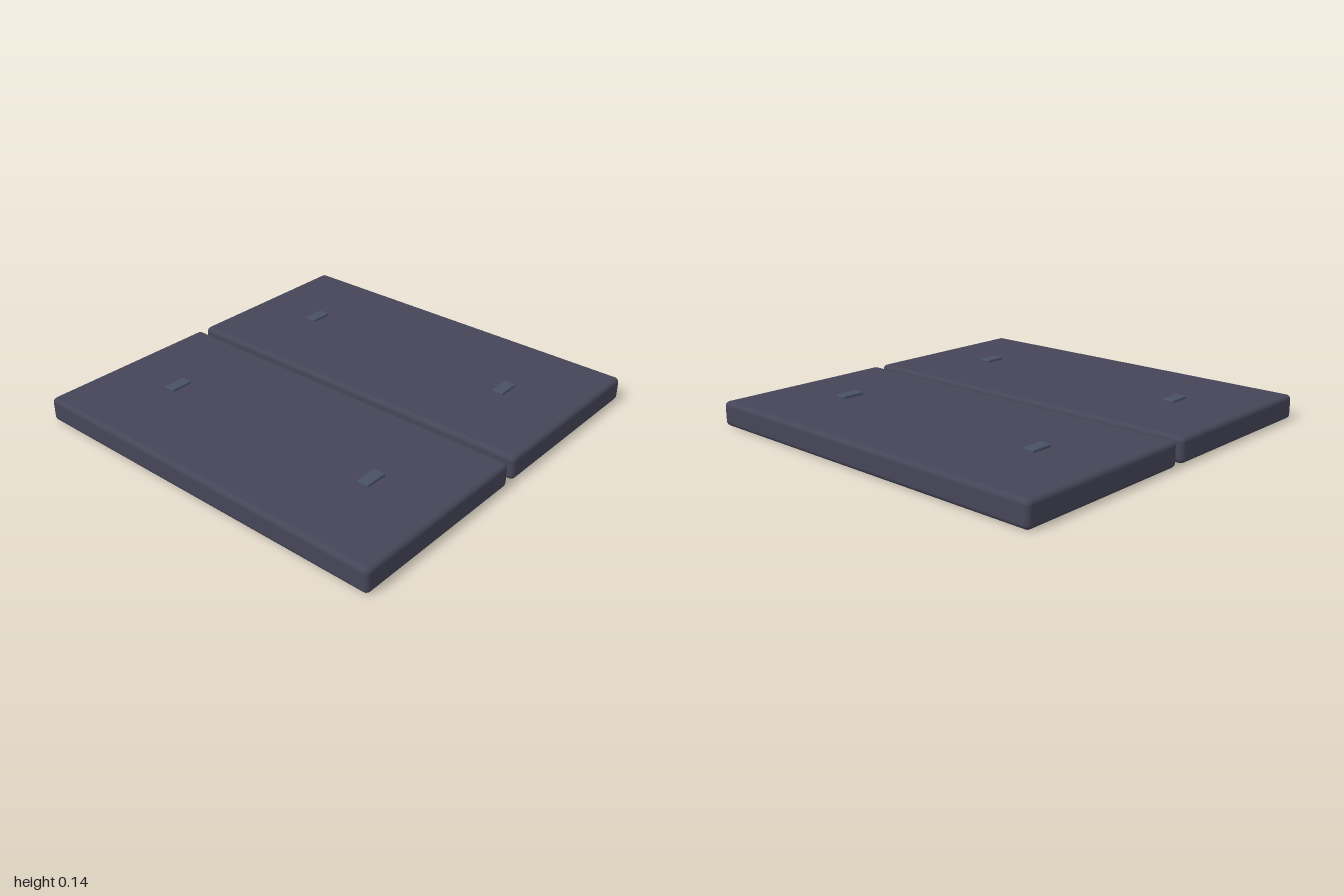
import * as THREE from 'three';
import { RoundedBoxGeometry } from 'three/addons/geometries/RoundedBoxGeometry.js';

export function createModel() {
  const model = new THREE.Group();
  model.name = 'panelPair';

  const slabMaterial = new THREE.MeshStandardMaterial({ color: 0x454558 });
  const tabMaterial = new THREE.MeshStandardMaterial({ color: 0x4a5066 });

  const slabGeometry = new RoundedBoxGeometry(0.98, 0.125, 2, 4, 0.025);
  const tabGeometry = new RoundedBoxGeometry(0.12, 0.03, 0.062, 3, 0.007);

  for (const side of [-1, 1]) {
    const panel = new THREE.Group();
    panel.name = side > 0 ? 'leftPanel' : 'rightPanel';
    panel.position.x = side * 0.51;

    // Rounded slab
    const slab = new THREE.Mesh(slabGeometry, slabMaterial);
    slab.name = 'slab';
    slab.position.y = 0.0625;
    panel.add(slab);

    // Small raised tabs near the front and back ends
    for (const end of [-1, 1]) {
      const tab = new THREE.Mesh(tabGeometry, tabMaterial);
      tab.name = end > 0 ? 'frontTab' : 'backTab';
      tab.position.set(side * 0.005, 0.124, end * 0.62);
      panel.add(tab);
    }
    model.add(panel);
  }
  return model;
}
